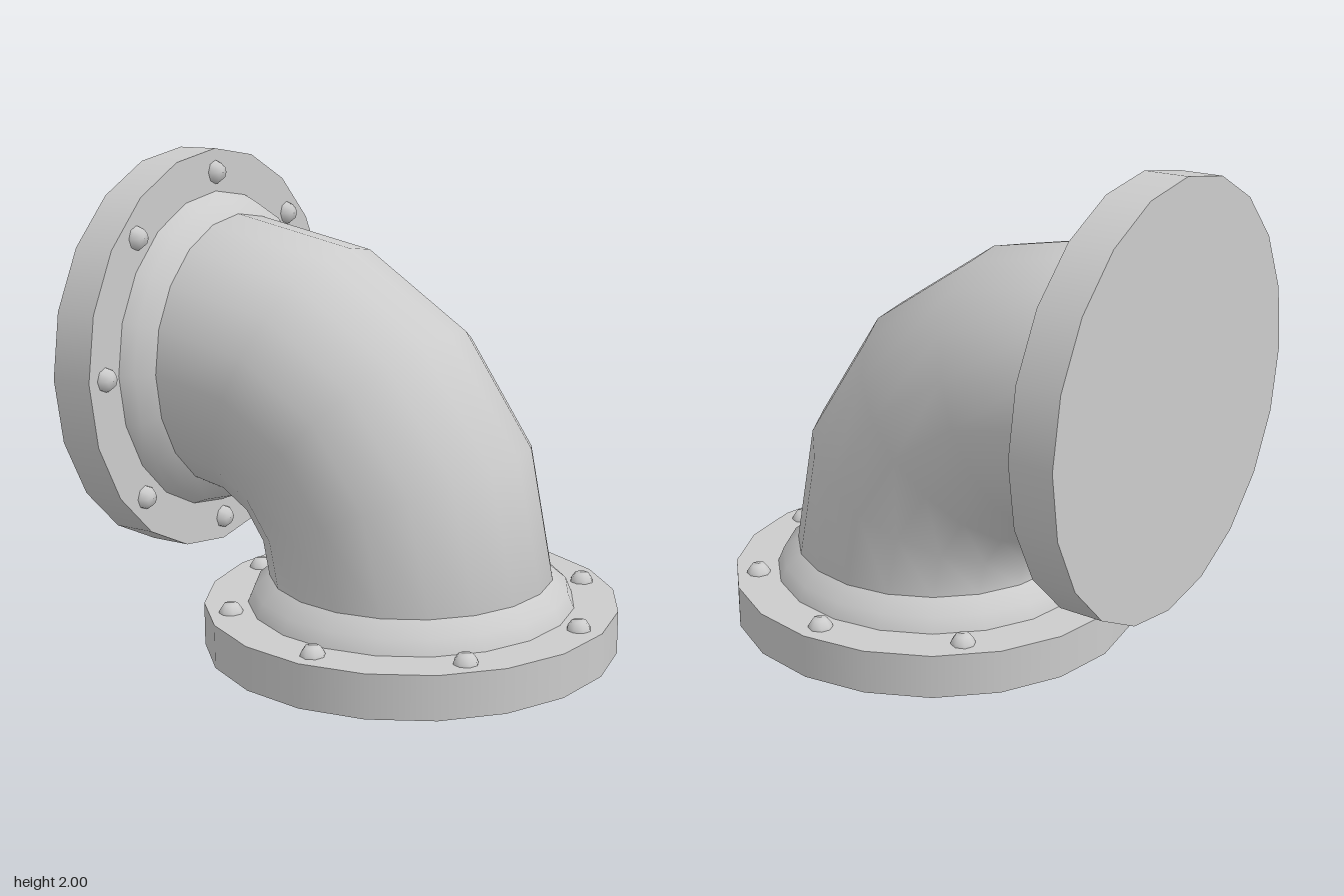
import * as THREE from 'three';

const SIDES = 20;
const FLANGE_CENTRE = 0.14; // offset of the pipe axis at each end
const FLANGE_HEIGHT = 0.18;

const material = new THREE.MeshStandardMaterial({ color: 0xcccccc });

function addPart(parent, name, geometry) {
  const mesh = new THREE.Mesh(geometry, material);
  mesh.name = name;
  parent.add(mesh);
  return mesh;
}

function lathe(points, sides) {
  return new THREE.LatheGeometry(points.map(([r, y]) => new THREE.Vector2(r, y)), sides);
}

// Flange with its collar and a ring of bolts, standing on y = 0
function createFlange(name) {
  const flange = new THREE.Group();
  flange.name = name;

  const disc = addPart(flange, 'flangeDisc', new THREE.CylinderGeometry(0.86, 0.86, FLANGE_HEIGHT, SIDES));
  disc.position.y = FLANGE_HEIGHT / 2;

  // Rounded collar narrowing to the pipe
  addPart(flange, 'collar', lathe([[0.68, 0.18], [0.655, 0.24], [0.59, 0.295]], SIDES));

  // Domed bolt heads
  const boltGeometry = lathe([[0.05, 0], [0.047, 0.012], [0.03, 0.036], [0, 0.04]], 8);
  for (let i = 0; i < 8; i++) {
    const angle = (i * Math.PI) / 4;
    const bolt = addPart(flange, 'bolt', boltGeometry);
    bolt.position.set(0.76 * Math.cos(angle), FLANGE_HEIGHT, 0.76 * Math.sin(angle));
  }
  return flange;
}

export function createModel() {
  const model = new THREE.Group();
  model.name = 'pipeElbow';

  // Quarter bend joining the two flanges
  const elbow = addPart(model, 'elbow', new THREE.TorusGeometry(0.845, 0.59, SIDES, 4, Math.PI / 2));
  elbow.position.set(-0.705, 0.295, 0);

  const bottom = createFlange('bottomFlange');
  bottom.position.x = FLANGE_CENTRE;

  const side = createFlange('sideFlange');
  side.rotation.z = -Math.PI / 2;
  side.position.set(-1, 1 + FLANGE_CENTRE, 0);

  model.add(bottom, side);
  return model;
}
